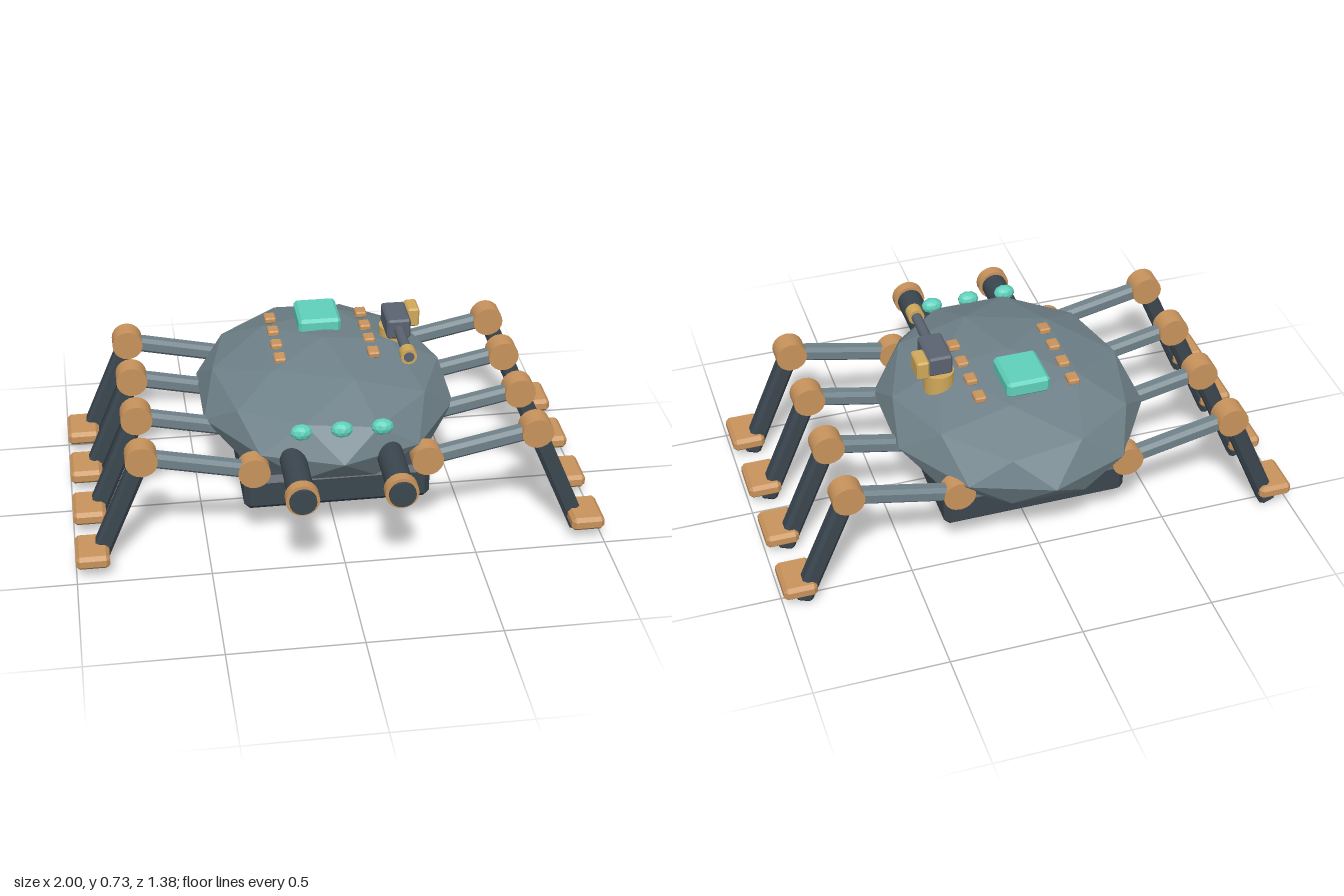
import * as THREE from 'three';
import { ConvexGeometry } from 'three/addons/geometries/ConvexGeometry.js';

const flat = (color) => new THREE.MeshStandardMaterial({ color, flatShading: true });
const smooth = (color) => new THREE.MeshStandardMaterial({ color });

// Box with cut edges and corners
function chamferBox(w, h, d, c) {
  const pts = [];
  for (const sx of [-1, 1]) for (const sy of [-1, 1]) for (const sz of [-1, 1]) {
    const x = w / 2, y = h / 2, z = d / 2;
    pts.push(
      new THREE.Vector3(sx * x, sy * (y - c), sz * (z - c)),
      new THREE.Vector3(sx * (x - c), sy * y, sz * (z - c)),
      new THREE.Vector3(sx * (x - c), sy * (y - c), sz * z)
    );
  }
  return new ConvexGeometry(pts);
}

// Faceted ball standing on one of its points
function facetBall(rx, ry, rz) {
  const g = new THREE.IcosahedronGeometry(1, 1);
  g.rotateZ(-Math.atan(2 / (1 + Math.sqrt(5))));
  return g.scale(rx, ry, rz);
}

// Cylinder lying along z
const zCylinder = (r, length, sides = 20) =>
  new THREE.CylinderGeometry(r, r, length, sides).rotateX(Math.PI / 2);

export function createModel() {
  const model = new THREE.Group();
  const steel = flat(0x6f8189), dark = flat(0x3b464f), copper = flat(0xc8935c);
  const teal = flat(0x5fd0bb), gold = flat(0xd0a95a), slate = flat(0x5a6370);
  const darkRound = smooth(0x3b464f), copperRound = smooth(0xc8935c);
  const goldRound = smooth(0xd0a95a), slateRound = smooth(0x5a6370);

  function add(parent, name, geometry, material, x, y, z) {
    const mesh = new THREE.Mesh(geometry, material);
    mesh.name = name;
    mesh.position.set(x, y, z);
    parent.add(mesh);
    return mesh;
  }

  // Hull and underside block
  add(model, 'hull', facetBall(0.505, 0.225, 0.585), steel, 0, 0.425, -0.105);
  add(model, 'bellyBlock', chamferBox(0.71, 0.14, 0.77, 0.022), dark, 0, 0.217, -0.075);

  // Legs: hip and knee in the x-y plane, four per side
  const hip = [0.325, 0.372], knee = [0.738, 0.46], toe = [0.926, 0.016];
  const upperLength = Math.hypot(knee[0] - hip[0], knee[1] - hip[1]);
  const lowerLength = Math.hypot(toe[0] - knee[0], toe[1] - knee[1]);
  const hipGeo = zCylinder(0.06, 0.068), kneeGeo = zCylinder(0.06, 0.082);
  const upperGeo = chamferBox(upperLength, 0.06, 0.058, 0.014);
  const lowerGeo = chamferBox(lowerLength, 0.068, 0.066, 0.014);
  const footGeo = chamferBox(0.126, 0.054, 0.176, 0.014);

  function beam(parent, name, geometry, material, a, b, side) {
    const mesh = add(parent, name, geometry, material, side * (a[0] + b[0]) / 2, (a[1] + b[1]) / 2, 0);
    mesh.rotation.z = Math.atan2(b[1] - a[1], side * (b[0] - a[0]));
  }

  for (const side of [1, -1]) {
    for (let i = 0; i < 4; i++) {
      const leg = new THREE.Group();
      leg.name = (side > 0 ? 'leftLeg' : 'rightLeg') + (i + 1);
      leg.position.z = 0.375 - i * 0.3;
      add(leg, 'hipJoint', hipGeo, copperRound, side * hip[0], hip[1], 0);
      beam(leg, 'upperLeg', upperGeo, steel, hip, knee, side);
      add(leg, 'kneeJoint', kneeGeo, copperRound, side * knee[0], knee[1], 0);
      beam(leg, 'lowerLeg', lowerGeo, dark, knee, toe, side);
      add(leg, 'footPad', footGeo, copper, side * 0.937, 0.085, 0.03);
      model.add(leg);
    }

    // Front cannons
    add(model, 'cannonBarrel', zCylinder(0.05, 0.41), darkRound, side * 0.18, 0.413, 0.485);
    add(model, 'cannonCollar', zCylinder(0.062, 0.042), copperRound, side * 0.18, 0.413, 0.656);

    // Row of studs along the back
    for (let i = 0; i < 4; i++) {
      const z = 0.003 - i * 0.11;
      const stud = add(model, 'stud', chamferBox(0.044, 0.024, 0.054, 0.005), copper,
        side * 0.18, 0.628, z);
      stud.rotation.x = i === 0 ? 0.1 : 0;
    }
  }

  // Eyes
  for (const x of [-0.15, 0, 0.15]) {
    add(model, 'eye', facetBall(0.042, 0.031, 0.031), teal, x, 0.536, 0.405);
  }

  // Roof hatch
  add(model, 'hatch', chamferBox(0.165, 0.065, 0.19, 0.012), teal, 0, 0.651, -0.272);

  // Roof turret
  const turret = new THREE.Group();
  turret.name = 'turret';
  turret.position.set(0.286, 0, 0);
  add(turret, 'turretBase', new THREE.CylinderGeometry(0.058, 0.058, 0.085, 20), goldRound, 0, 0.612, -0.16);
  add(turret, 'turretBody', chamferBox(0.092, 0.08, 0.162, 0.008), slate, 0, 0.694, -0.117);
  add(turret, 'ammoBox', chamferBox(0.048, 0.076, 0.092, 0.007), gold, 0.07, 0.697, -0.165);
  add(turret, 'turretBarrel', zCylinder(0.02, 0.232, 16), slateRound, 0, 0.693, 0.066);
  add(turret, 'muzzle', zCylinder(0.031, 0.048, 16), goldRound, 0, 0.693, 0.156);
  model.add(turret);

  return model;
}
